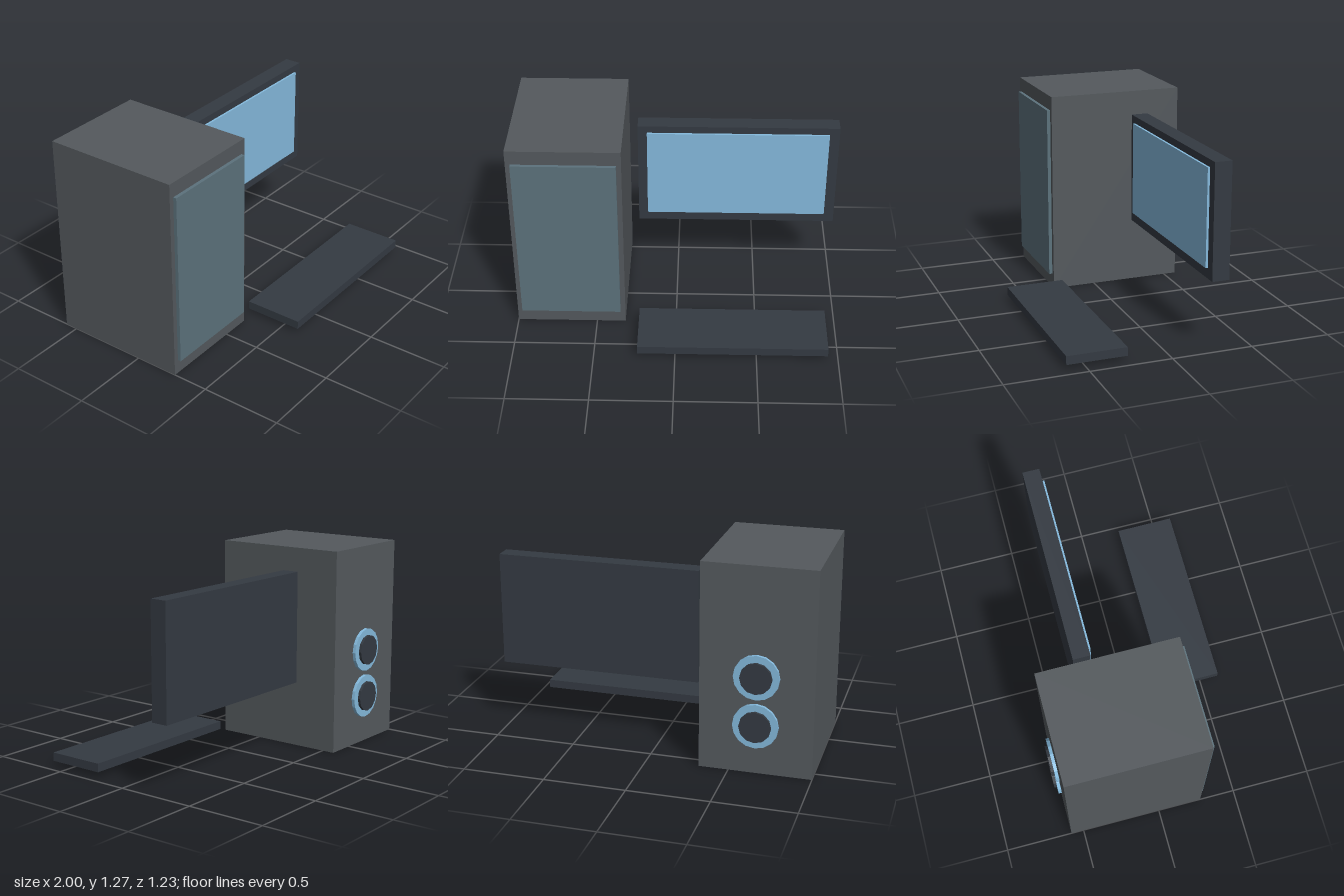
import * as THREE from 'three';

const mat = (color) => new THREE.MeshStandardMaterial({ color, flatShading: true });

export function createModel() {
  const model = new THREE.Group();
  const grey = mat(0x54595d), panel = mat(0x5c727c), dark = mat(0x343a42), blue = mat(0x84b9dc);

  // Box given by its lower and upper corners
  const box = (name, material, [x0, y0, z0], [x1, y1, z1]) => {
    const mesh = new THREE.Mesh(new THREE.BoxGeometry(x1 - x0, y1 - y0, z1 - z0), material);
    mesh.position.set((x0 + x1) / 2, (y0 + y1) / 2, (z0 + z1) / 2);
    mesh.name = name;
    model.add(mesh);
  };

  // Disc lying against the back of the tower
  const disc = (name, material, radius, sides, y, z0, z1) => {
    const geometry = new THREE.CylinderGeometry(radius, radius, z1 - z0, sides).rotateX(Math.PI / 2);
    const mesh = new THREE.Mesh(geometry, material);
    mesh.position.set(-0.66, y, (z0 + z1) / 2);
    mesh.name = name;
    model.add(mesh);
  };

  // Tower
  box('towerCase', grey, [-1, 0, -0.58], [-0.32, 1.27, 0.277]);
  box('frontPanel', panel, [-0.97, 0.09, 0.27], [-0.35, 1.18, 0.298]);

  // Monitor
  box('monitorFrame', dark, [-0.25, 0.432, -0.342], [1, 1.133, -0.236]);
  box('screen', blue, [-0.193, 0.496, -0.24], [0.937, 1.088, -0.222]);

  // Keyboard
  box('keyboard', dark, [-0.231, 0.03, 0.249], [0.937, 0.083, 0.617]);

  // Two rear fans, each a pale rim with a dark hub
  for (const [side, y] of [['upper', 0.606], ['lower', 0.304]]) {
    disc(side + 'FanRim', blue, 0.137, 16, y, -0.6, -0.57);
    disc(side + 'FanHub', dark, 0.096, 12, y, -0.617, -0.59);
  }

  return model;
}
